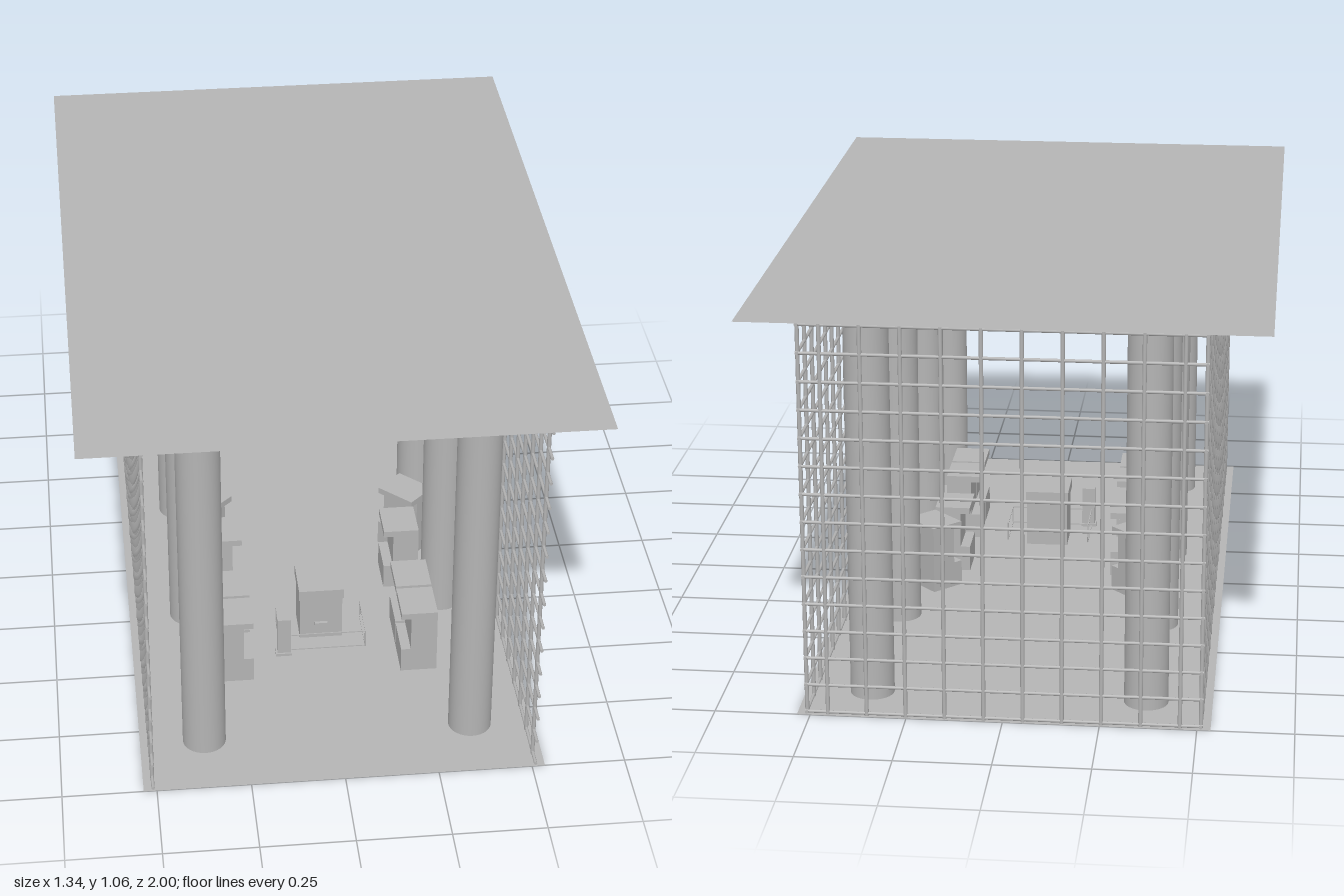
import * as THREE from 'three';

const grey = new THREE.MeshStandardMaterial({ color: 0xb4b4b4 });
grey.name = 'stone grey';
const sheetGrey = new THREE.MeshStandardMaterial({ color: 0xb4b4b4, side: THREE.DoubleSide });
sheetGrey.name = 'sheet grey';

const ROOF = 1.058;

function add(parent, name, geometry, x, y, z, material = grey) {
  const mesh = new THREE.Mesh(geometry, material);
  mesh.name = name;
  mesh.position.set(x, y, z);
  parent.add(mesh);
  return mesh;
}

// box given by its lower and upper corners
function box(parent, name, [x0, y0, z0], [x1, y1, z1]) {
  return add(parent, name, new THREE.BoxGeometry(x1 - x0, y1 - y0, z1 - z0),
    (x0 + x1) / 2, (y0 + y1) / 2, (z0 + z1) / 2);
}

// flat wall of crossing round bars, running along local x
function lattice(name, length, offsets) {
  const wall = new THREE.Group();
  wall.name = name;
  const upright = new THREE.CylinderGeometry(0.0055, 0.0055, ROOF, 8);
  const rail = new THREE.CylinderGeometry(0.0045, 0.0045, length, 8).rotateZ(Math.PI / 2);
  for (const x of offsets) add(wall, 'latticeUpright', upright, x, ROOF / 2, 0);
  for (let i = 0; i < 15; i++) add(wall, 'latticeRail', rail, 0, 0.006 + i * 0.0748, 0);
  return wall;
}

// stepped console: low front shelf, upright body, overhanging top; faces local -x
function makeConsole() {
  const g = new THREE.Group();
  g.name = 'console';
  const w = 0.061;
  box(g, 'consoleBase', [-0.05, 0, -w], [0.05, 0.073, w]);
  box(g, 'consoleBody', [-0.023, 0.073, -w], [0.05, 0.175, w]);
  box(g, 'consoleTop', [-0.05, 0.175, -w], [0.05, 0.193, w]);
  return g;
}

export function createModel() {
  const model = new THREE.Group();
  model.name = 'pavilion';

  // floor and roof sheets
  add(model, 'floor', new THREE.PlaneGeometry(1.07, 2).rotateX(-Math.PI / 2), 0, 0, 0, sheetGrey);
  add(model, 'roof', new THREE.PlaneGeometry(1.34, 2).rotateX(-Math.PI / 2), 0, ROOF, 0, sheetGrey);

  // lattice walls on both sides and the back
  const sideOffsets = Array.from({ length: 20 }, (_, i) => 0.945 - i * 0.1015);
  for (const s of [-1, 1]) {
    const wall = lattice('sideLattice', 1.995, sideOffsets.map((z) => -z));
    wall.rotation.y = Math.PI / 2;
    wall.position.x = s * 0.51;
    model.add(wall);
  }
  const back = lattice('backLattice', 1.03, Array.from({ length: 10 }, (_, i) => -0.456 + i * 0.1012));
  back.position.z = -0.99;
  model.add(back);

  // two rows of round columns
  const column = new THREE.CylinderGeometry(0.058, 0.058, ROOF, 32);
  for (const s of [-1, 1])
    for (const z of [0.8, 0.226, -0.31, -0.835]) add(model, 'column', column, s * 0.361, ROOF / 2, z);

  // consoles along each side, the last one turned towards the front
  for (const s of [-1, 1]) {
    for (const [x, z, turn] of [[0.255, 0.492, 0], [0.255, 0.36, 0], [0.255, 0.094, 0], [0.295, -0.065, Math.PI / 4]]) {
      const c = makeConsole();
      c.position.set(s * x, 0, z);
      c.rotation.y = s > 0 ? turn : Math.PI - turn;
      model.add(c);
    }
  }

  // central desk with a thick top, door seams and a handle
  const desk = new THREE.Group();
  desk.name = 'desk';
  box(desk, 'deskBody', [-0.06, 0, 0.26], [0.06, 0.13, 0.375]);
  box(desk, 'deskNeck', [-0.055, 0.13, 0.265], [0.055, 0.137, 0.37]);
  box(desk, 'deskTop', [-0.063, 0.137, 0.255], [0.063, 0.167, 0.385]);
  box(desk, 'deskHandle', [-0.018, 0.044, 0.375], [0.018, 0.054, 0.384]);
  model.add(desk);

  // slim stand beside the desk
  box(model, 'stand', [-0.13, 0.008, 0.425], [-0.092, 0.12, 0.45]);
  box(model, 'standFoot', [-0.135, 0, 0.42], [-0.09, 0.008, 0.455]);

  // low wire rail around the desk
  const post = new THREE.CylinderGeometry(0.002, 0.002, 0.053, 8);
  for (const x of [-0.12, 0.12])
    for (const z of [0.29, 0.43]) add(model, 'railPost', post, x, 0.0265, z);
  for (const y of [0.003, 0.052]) {
    box(model, 'frontRail', [-0.12, y - 0.0015, 0.4285], [0.12, y + 0.0015, 0.4315]);
    for (const x of [-0.12, 0.12])
      box(model, 'sideRail', [x - 0.0015, y - 0.0015, 0.29], [x + 0.0015, y + 0.0015, 0.43]);
  }

  return model;
}
